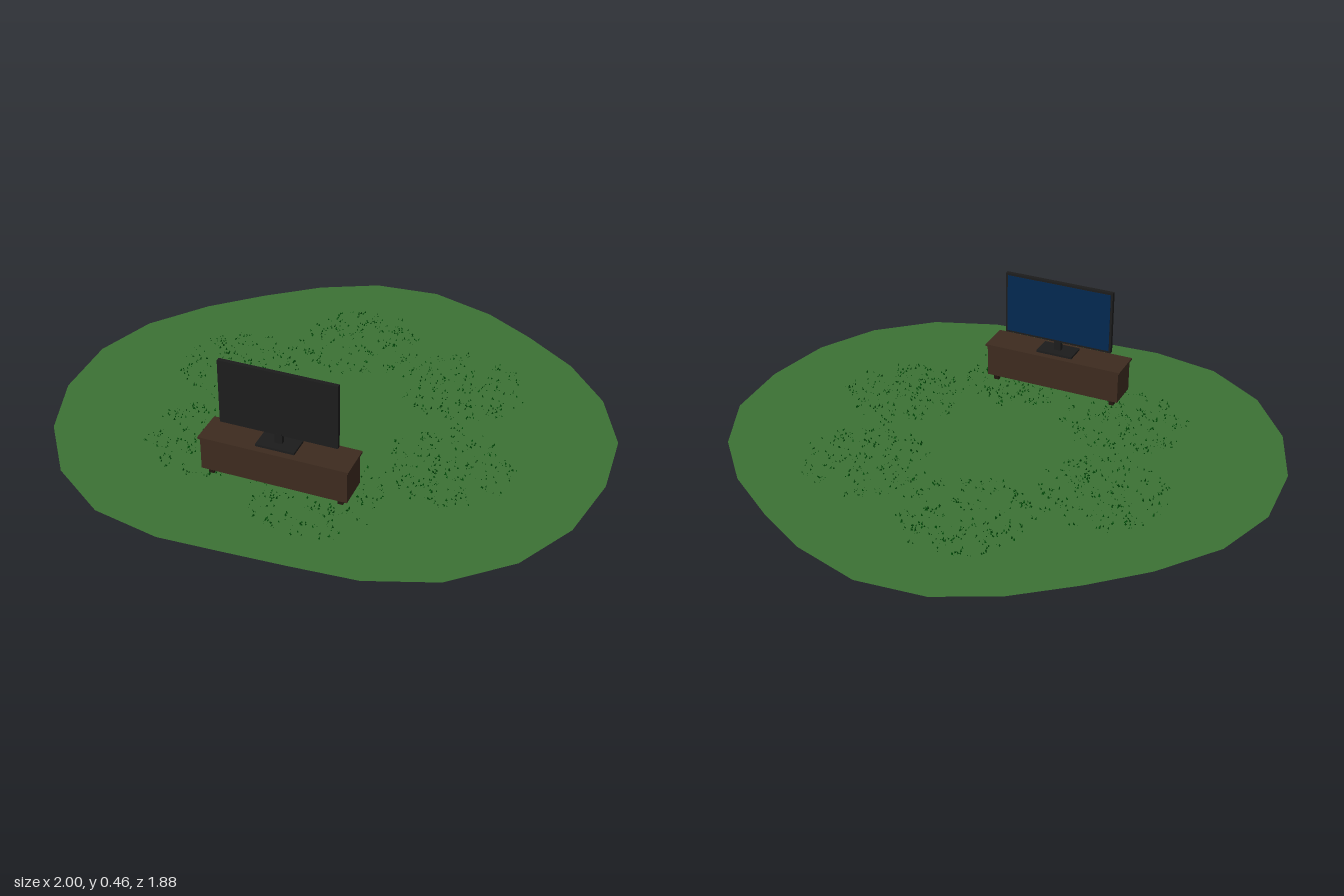
import * as THREE from 'three';
import { mergeGeometries } from 'three/addons/utils/BufferGeometryUtils.js';

const mat = (name, color, extra = {}) => {
  const m = new THREE.MeshStandardMaterial({ color, ...extra });
  m.name = name;
  return m;
};

// Small seeded generator so the grass is always the same
function seeded(seed) {
  return () => {
    seed = (seed * 1664525 + 1013904223) >>> 0;
    return seed / 4294967296;
  };
}

const GROUND_Y = 0.012;

// Outline of the lawn as x, z pairs
const OUTLINE = [
  [-0.265, -0.935], [0, -0.943], [0.22, -0.9], [0.46, -0.83], [0.68, -0.705], [0.86, -0.515],
  [0.96, -0.27], [1, 0], [0.96, 0.25], [0.83, 0.48], [0.63, 0.64], [0.41, 0.735],
  [0.19, 0.825], [-0.01, 0.905], [-0.265, 0.94], [-0.52, 0.87], [-0.74, 0.715], [-0.905, 0.505],
  [-1, 0.25], [-1, 0], [-0.915, -0.25], [-0.8, -0.46], [-0.665, -0.665], [-0.495, -0.833],
];

// One round patch of small tufts of three-sided blades; only the taller ones pierce the lawn
function grassPatch(radius, tufts, random) {
  const blades = [];
  for (let i = 0; i < tufts; i++) {
    const a = random() * Math.PI * 2;
    const r = (radius - 0.012) * Math.sqrt(random());
    for (let j = 0; j < 3; j++) {
      const h = 0.008 + 0.014 * random();
      const blade = new THREE.ConeGeometry(0.008 + 0.004 * random(), h, 3);
      blade.rotateY(random() * Math.PI * 2);
      blade.translate(0, h / 2, 0);
      // lean the tip sideways, keeping the foot flat
      blade.applyMatrix4(new THREE.Matrix4().makeShear(0, 0, random() - 0.5, random() - 0.5, 0, 0));
      blade.translate(
        r * Math.cos(a) + 0.028 * (random() - 0.5), 0,
        r * Math.sin(a) + 0.028 * (random() - 0.5));
      blades.push(blade);
    }
  }
  return mergeGeometries(blades);
}

export function createModel() {
  const lawnGreen = mat('lawn green', 0x3c7235, { side: THREE.DoubleSide });
  const grassGreen = mat('dark grass green', 0x004a08);
  const wood = mat('dark wood', 0x3d2b1f);
  const legBrown = mat('leg brown', 0x21160f);
  const casing = mat('casing black', 0x1c1c1c);
  const screenBlue = mat('screen blue', 0x032850);

  const model = new THREE.Group();
  model.name = 'televisionOnLawn';

  // Lawn sheet
  const shape = new THREE.Shape(OUTLINE.map(([x, z]) => new THREE.Vector2(x, -z)));
  const lawn = new THREE.Mesh(new THREE.ShapeGeometry(shape).rotateX(-Math.PI / 2), lawnGreen);
  lawn.name = 'lawn';
  lawn.position.y = GROUND_Y;
  model.add(lawn);

  // Ring of six grass patches
  const random = seeded(7);
  for (let i = 0; i < 6; i++) {
    const a = (i * Math.PI) / 3;
    const patch = new THREE.Mesh(grassPatch(0.245, 150, random), grassGreen);
    patch.name = 'grassPatch';
    patch.position.set(-0.013 + 0.49 * Math.cos(a), 0, -0.018 + 0.485 * Math.sin(a));
    model.add(patch);
  }

  // Television set and cabinet, turned so the screen looks toward the back
  const set = new THREE.Group();
  set.name = 'televisionSet';
  set.position.set(0.096, 0, 0.422);
  set.rotation.y = Math.PI + 0.327;
  model.add(set);

  // Box standing from y0 to y1
  const box = (name, w, y0, y1, d, material, x = 0, z = 0) => {
    const mesh = new THREE.Mesh(new THREE.BoxGeometry(w, y1 - y0, d), material);
    mesh.name = name;
    mesh.position.set(x, (y0 + y1) / 2, z);
    set.add(mesh);
  };

  // Cabinet
  box('cabinetBody', 0.535, 0.036, 0.159, 0.12, wood);
  box('cabinetTop', 0.548, 0.159, 0.167, 0.132, wood);
  for (const sx of [-1, 1]) {
    for (const sz of [-1, 1]) {
      box('cabinetLeg', 0.019, 0.005, 0.036, 0.019, legBrown, sx * 0.238, sz * 0.036);
    }
  }

  // Television
  box('standPlate', 0.143, 0.167, 0.175, 0.082, casing);
  box('standNeck', 0.027, 0.175, 0.215, 0.017, casing);
  box('televisionCasing', 0.43, 0.209, 0.455, 0.016, casing);
  box('screen', 0.414, 0.217, 0.447, 0.002, screenBlue, 0, 0.0085);

  return model;
}
